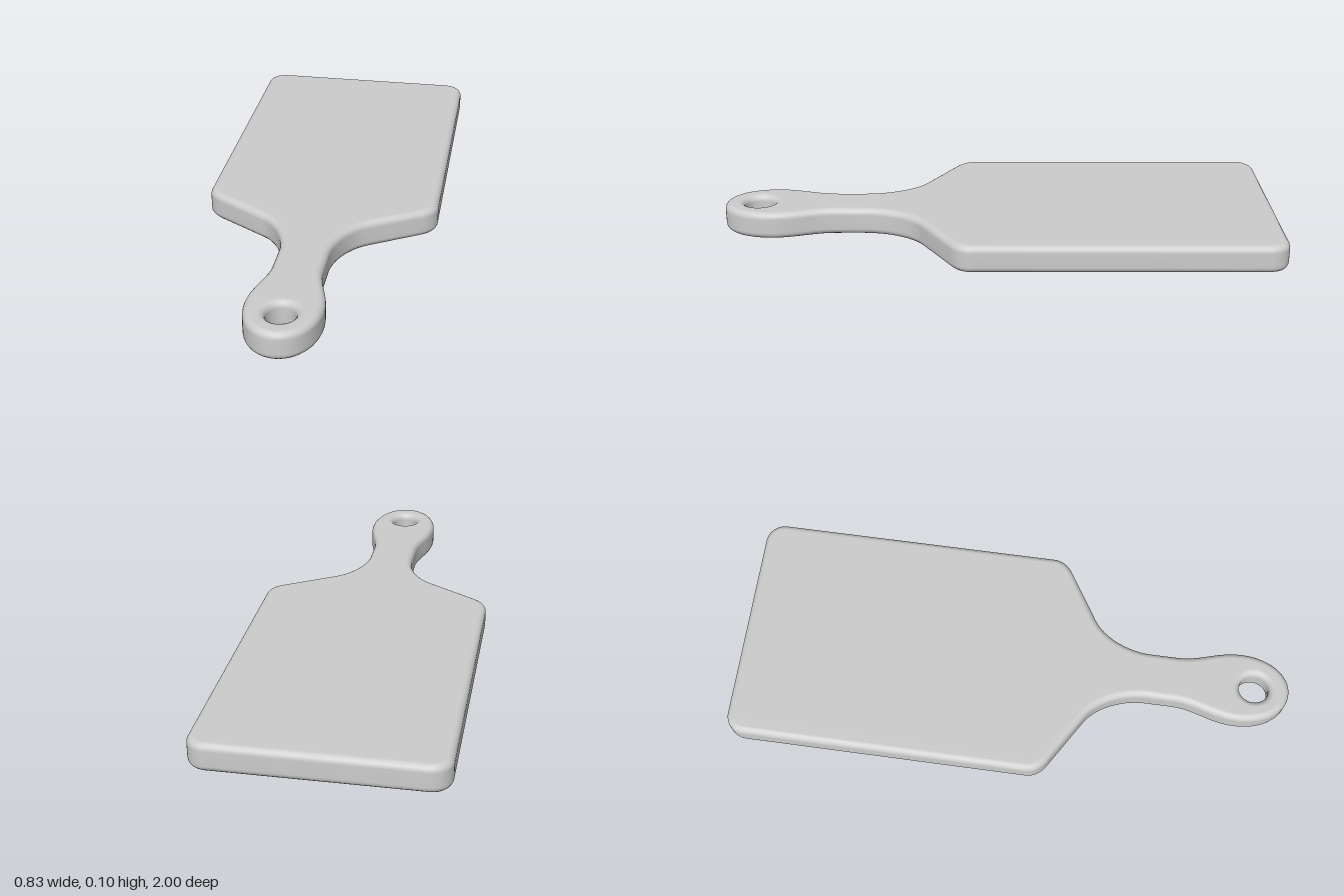
import * as THREE from 'three';
import { mergeVertices } from 'three/addons/utils/BufferGeometryUtils.js';

const THICKNESS = 0.1;
const BEVEL = 0.024;

// Half outline from the handle tip to the middle of the far edge (x, z)
function halfOutline() {
  const p = new THREE.Path();
  p.moveTo(0, 1);
  p.bezierCurveTo(0.075, 1, 0.128, 0.92, 0.128, 0.82);   // handle end
  p.bezierCurveTo(0.128, 0.73, 0.085, 0.67, 0.085, 0.59); // narrowing to the neck
  p.lineTo(0.085, 0.49);
  p.bezierCurveTo(0.085, 0.41, 0.125, 0.315, 0.19, 0.275); // neck into shoulder
  p.lineTo(0.365, 0.168);
  p.bezierCurveTo(0.395, 0.15, 0.415, 0.125, 0.415, 0.09); // shoulder corner
  p.lineTo(0.415, -0.93);
  p.bezierCurveTo(0.415, -0.97, 0.385, -1, 0.345, -1);    // far corner
  p.lineTo(0, -1);
  return p.getPoints(12);
}

export function createModel() {
  const group = new THREE.Group();
  group.name = 'cuttingBoard';

  // Mirror the half outline; shape y is the model's -z
  const half = halfOutline();
  const mirrored = half.slice(1, -1).reverse().map((p) => new THREE.Vector2(-p.x, p.y));
  const shape = new THREE.Shape([...half, ...mirrored].map((p) => new THREE.Vector2(p.x, -p.y)));

  // Hanging hole, widened by the bevel at both faces
  const hole = new THREE.Path();
  hole.absellipse(0, -0.873, 0.049, 0.054, 0, Math.PI * 2, true);
  shape.holes.push(hole);

  let geo = new THREE.ExtrudeGeometry(shape, {
    depth: THICKNESS - 2 * BEVEL,
    bevelThickness: BEVEL,
    bevelSize: BEVEL,
    bevelOffset: -BEVEL,
    bevelSegments: 5,
    curveSegments: 32,
  });
  geo.translate(0, 0, BEVEL);
  geo.rotateX(-Math.PI / 2);

  // Smooth rounded edges, with truly flat faces above and below
  geo.deleteAttribute('uv');
  geo.deleteAttribute('normal');
  geo = mergeVertices(geo, 1e-5);
  geo.computeVertexNormals();
  const { position, normal } = geo.attributes;
  for (let i = 0; i < position.count; i++) {
    const y = position.getY(i);
    if (y < 1e-4) normal.setXYZ(i, 0, -1, 0);
    else if (y > THICKNESS - 1e-4) normal.setXYZ(i, 0, 1, 0);
  }

  const board = new THREE.Mesh(geo, new THREE.MeshStandardMaterial({ color: 0xcccccc }));
  board.name = 'boardWithHandle';
  group.add(board);
  return group;
}
